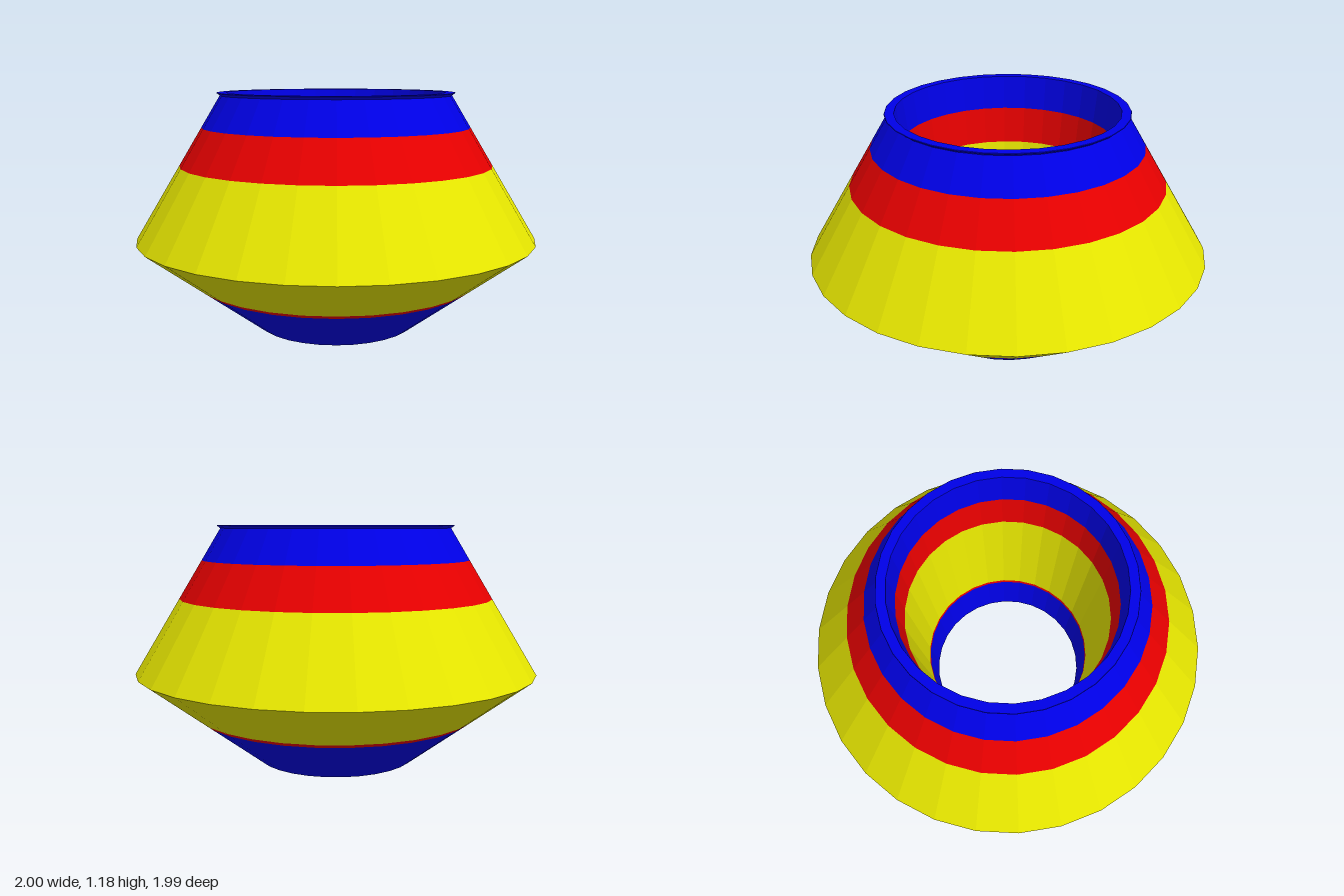
import * as THREE from 'three';

const SIDES = 30;

export function createModel() {
  const flat = (name, color) => new THREE.MeshStandardMaterial({ name, color, flatShading: true });
  const yellow = flat('yellow', 0xffff00);
  const red = flat('red', 0xff0000);
  const blue = flat('blue', 0x0000ff);

  const group = new THREE.Group();
  group.name = 'stripedRing';

  // one faceted band turned around the y axis; points run up the outside and down the inside
  const band = (name, material, points) => {
    const profile = points.map(([r, y]) => new THREE.Vector2(r, y));
    const mesh = new THREE.Mesh(new THREE.LatheGeometry(profile, SIDES, Math.PI / 2), material);
    mesh.name = name;
    group.add(mesh);
  };

  // profile: sharp foot, wide waist, neck
  const foot = [0.398, 0], waist = [1, 0.457], neck = [0.574, 1.165], rimInner = [0.543, 1.18];
  const at = (a, b, y) => [a[0] + (b[0] - a[0]) * (y - a[1]) / (b[1] - a[1]), y];
  const lower = (y) => at(foot, waist, y);
  const upper = (y) => at(waist, neck, y);
  const inner = (y) => at(foot, rimInner, y);

  // outside bands
  band('lowerBlueBand', blue, [foot, lower(0.228)]);
  band('lowerRedBand', red, [lower(0.228), lower(0.246)]);
  band('waistBand', yellow, [lower(0.246), waist, upper(0.823)]);
  band('upperRedBand', red, [upper(0.823), upper(1.01)]);
  band('neckBand', blue, [upper(1.01), neck]);

  // flared lip and flat rim
  band('lip', blue, [neck, [0.59, 1.177], [0.588, 1.18], rimInner]);

  // inside bands
  band('innerUpperBlueBand', blue, [rimInner, inner(1.01)]);
  band('innerUpperRedBand', red, [inner(1.01), inner(0.823)]);
  band('innerYellowBand', yellow, [inner(0.823), inner(0.246)]);
  band('innerLowerRedBand', red, [inner(0.246), inner(0.228)]);
  band('innerLowerBlueBand', blue, [inner(0.228), foot]);

  return group;
}
